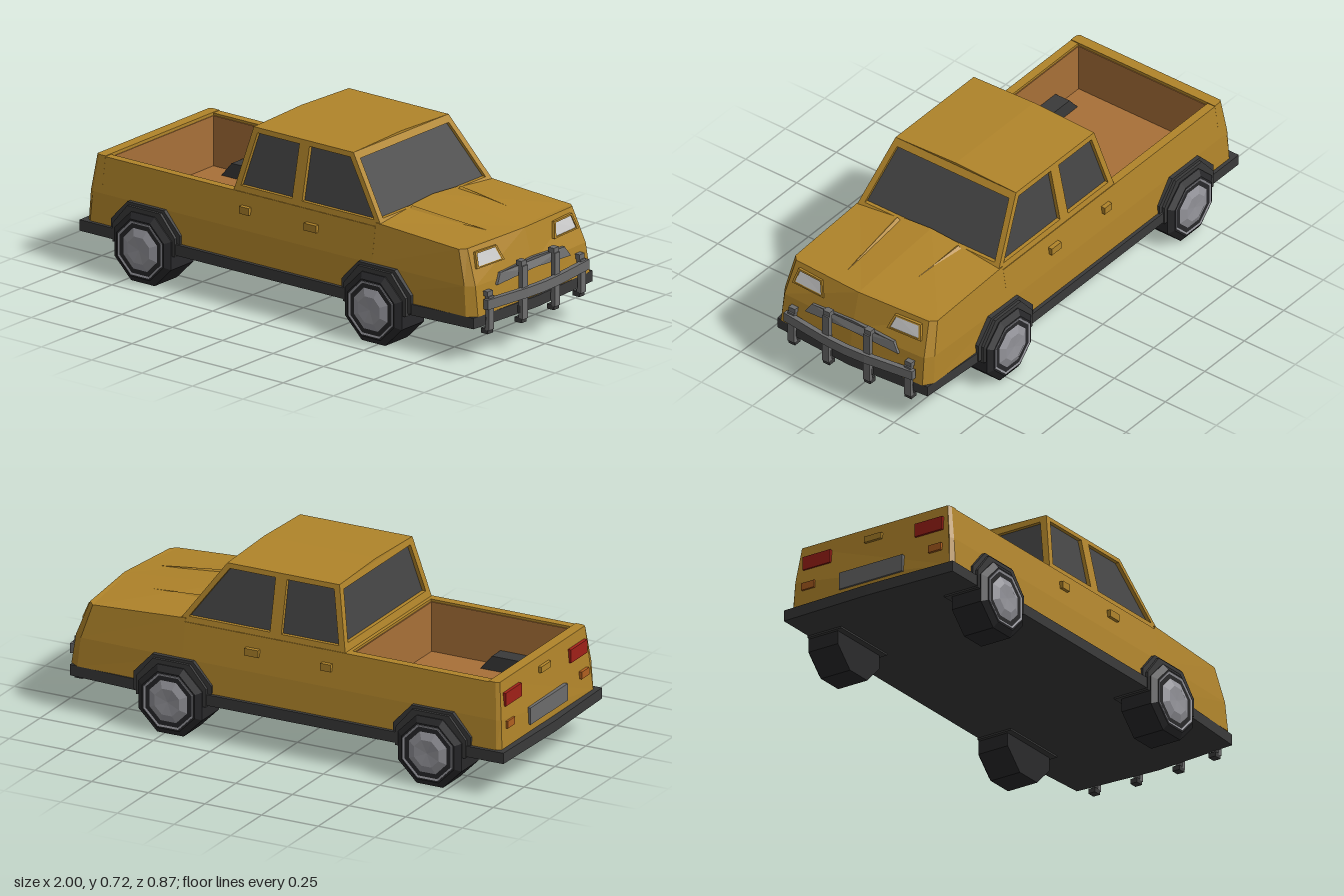
import * as THREE from 'three';

const YELLOW = 0xb0842a, BROWN = 0xa87038, GLASS = 0x444444, DARK = 0x3a3a3a,
  RUBBER = 0x28282a, STEEL = 0x6c6c6c, CHROME = 0x94949a, LAMP = 0xcccccc, RED = 0xa02018, ORANGE = 0xb06020;

export function createModel() {
  const truck = new THREE.Group();
  truck.name = 'pickupTruck';

  // Adds a flat-shaded closed solid, turning its faces outward if a mapping flipped them
  function add(name, geo, color, parent = truck) {
    const g = geo.index ? geo.toNonIndexed() : geo;
    const p = g.attributes.position;
    const a = new THREE.Vector3(), b = new THREE.Vector3(), c = new THREE.Vector3();
    let volume = 0;
    for (let i = 0; i < p.count; i += 3) {
      a.fromBufferAttribute(p, i);
      b.fromBufferAttribute(p, i + 1);
      c.fromBufferAttribute(p, i + 2);
      volume += a.dot(b.cross(c));
    }
    if (volume < 0) {
      for (let i = 0; i < p.count; i += 3) {
        b.fromBufferAttribute(p, i + 1);
        c.fromBufferAttribute(p, i + 2);
        p.setXYZ(i + 1, c.x, c.y, c.z);
        p.setXYZ(i + 2, b.x, b.y, b.z);
      }
    }
    g.computeVertexNormals();
    const mesh = new THREE.Mesh(g, new THREE.MeshStandardMaterial({ color, flatShading: true }));
    mesh.name = name;
    parent.add(mesh);
    return mesh;
  }

  // Box given by its limits
  function box(name, [x0, x1], [y0, y1], [z0, z1], color) {
    const g = new THREE.BoxGeometry(x1 - x0, y1 - y0, z1 - z0);
    return add(name, g.translate((x0 + x1) / 2, (y0 + y1) / 2, (z0 + z1) / 2), color);
  }

  // Skin over rings of equal point count, with both ends capped
  function loft(name, rings, color) {
    const n = rings[0].length, index = [];
    for (let r = 0; r + 1 < rings.length; r++) {
      for (let i = 0; i < n; i++) {
        const a = r * n + i, b = r * n + (i + 1) % n;
        index.push(a, b, b + n, a, b + n, a + n);
      }
    }
    const last = (rings.length - 1) * n;
    for (let i = 1; i + 1 < n; i++) {
      index.push(0, i + 1, i, last, last + i, last + i + 1);
    }
    const g = new THREE.BufferGeometry();
    g.setAttribute('position', new THREE.Float32BufferAttribute(rings.flat(2), 3));
    g.setIndex(index);
    return add(name, g, color);
  }

  // Flat outline with holes, thickened and laid on a surface by map(u, v, depth)
  function panel(name, outline, holes, depth, color, map) {
    const points = list => list.map(q => new THREE.Vector2(...q));
    const shape = new THREE.Shape(points(outline));
    shape.holes = holes.map(h => new THREE.Path(points(h)));
    const g = new THREE.ExtrudeGeometry(shape, { depth, bevelEnabled: false });
    const p = g.attributes.position;
    for (let i = 0; i < p.count; i++) p.setXYZ(i, ...map(p.getX(i), p.getY(i), p.getZ(i)));
    return add(name, g, color);
  }
  const mirrored = list => [...list, ...list.slice().reverse().map(([z, y]) => [-z, y])];

  // Chassis skirt
  panel('chassisSkirt', [[-0.99, -0.4], [0.45, -0.4], [0.94, -0.368], [0.965, 0], [0.94, 0.368],
    [0.45, 0.4], [-0.99, 0.4], [-1, 0]], [], 0.045, DARK, (x, z, w) => [x, 0.145 + w, z]);

  // Body rings: lower edge, waist, shoulder and crown, mirrored over z
  const ring = (lower, waist, shoulder, crown) => [lower, waist, shoulder, crown,
    ...[shoulder, waist, lower].map(([x, y, z]) => [x, y, -z])];
  const straight = x => ring([x, 0.19, 0.385], [x, 0.31, 0.375], [x, 0.455, 0.353], [x, 0.455, 0]);
  const nose = [[0.19, 0.945, 0.955], [0.31, 0.928, 0.94], [0.45, 0.875, 0.9]];
  loft('cabBody', [straight(-0.28), straight(0.44)], YELLOW);
  loft('hoodAndNose', [
    ring([0.44, 0.19, 0.385], [0.44, 0.31, 0.375], [0.44, 0.47, 0.35], [0.44, 0.495, 0]),
    ring([0.905, 0.19, 0.373], [0.893, 0.31, 0.367], [0.85, 0.448, 0.348], [0.885, 0.458, 0]),
    ring([0.945, 0.19, 0.347], [0.928, 0.31, 0.342], [0.875, 0.45, 0.325], [0.9, 0.457, 0]),
    ring([0.955, 0.19, 0], [0.94, 0.31, 0], [0.9, 0.457, 0], [0.9, 0.457, 0]),
  ], YELLOW);
  loft('tailgate', [
    ring([-0.968, 0.19, 0.37], [-0.962, 0.31, 0.365], [-0.945, 0.458, 0.345], [-0.945, 0.458, 0]),
    ring([-0.95, 0.19, 0.385], [-0.945, 0.31, 0.375], [-0.93, 0.458, 0.353], [-0.93, 0.458, 0]),
    ring([-0.9, 0.19, 0.385], [-0.9, 0.31, 0.375], [-0.9, 0.458, 0.353], [-0.9, 0.458, 0]),
  ], YELLOW);

  // Cargo bed
  box('bedFloor', [-0.91, -0.27], [0.18, 0.24], [-0.33, 0.33], BROWN);
  box('bedRearLining', [-0.91, -0.897], [0.24, 0.445], [-0.316, 0.316], BROWN);
  box('bedFrontLining', [-0.285, -0.277], [0.24, 0.445], [-0.316, 0.316], BROWN);
  for (const s of [1, -1]) {
    const wall = x => [[0.19, 0.385], [0.31, 0.375], [0.455, 0.353], [0.455, 0.317], [0.19, 0.317]]
      .map(([y, z]) => [x, y, s * z]);
    loft('bedSide', [wall(-0.905), wall(-0.275)], YELLOW);
    const lining = [0.313, 0.318].map(z => s * z).sort((a, b) => a - b);
    box('bedSideLining', [-0.9, -0.28], [0.24, 0.445], lining, BROWN);
  }

  // Cabin: tapering faces as functions of height
  const rise = y => (y - 0.455) / 0.255;
  const halfWidth = y => 0.35 - 0.055 * rise(y);
  const frontX = y => 0.47 - 0.185 * rise(y);
  const rearX = y => -0.265 + 0.055 * rise(y);
  const cabRing = (y, inset) => [[1, 1], [1, -1], [0, -1], [0, 1]].map(([f, s]) =>
    [f ? frontX(y) - inset : rearX(y) + inset, y, s * (halfWidth(y) - inset)]);
  loft('windowGlass', [cabRing(0.45, 0.016), cabRing(0.7, 0.016)], GLASS);

  const roofRing = x => [[x, 0.693, 0.296], [x, 0.71, 0.295], [x, 0.72, 0], [x, 0.71, -0.295], [x, 0.693, -0.296]];
  loft('roof', [roofRing(-0.21), roofRing(0.285)], YELLOW);

  for (const s of [1, -1]) {
    panel('doorFrame',
      [[rearX(0.45), 0.45], [frontX(0.45), 0.45], [frontX(0.71), 0.71], [rearX(0.71), 0.71]],
      [[[-0.235, 0.478], [0.02, 0.478], [0.02, 0.69], [-0.192, 0.69]],
        [[0.07, 0.478], [0.43, 0.478], [0.272, 0.69], [0.07, 0.69]]],
      0.026, YELLOW, (x, y, w) => [x, y, s * (halfWidth(y) - w)]);
  }
  const endOutline = mirrored([[halfWidth(0.45), 0.45], [halfWidth(0.71), 0.71]]);
  panel('windscreenFrame', endOutline, [mirrored([[0.323, 0.482], [0.274, 0.685]])],
    0.026, YELLOW, (z, y, w) => [frontX(y) - w, y, z]);
  panel('rearWindowFrame', endOutline, [mirrored([[0.315, 0.485], [0.27, 0.685]])],
    0.026, YELLOW, (z, y, w) => [rearX(y) + w, y, z]);

  // Nose surface, used to seat lamps and grille
  function noseX(y, z) {
    const i = y < 0.31 ? 0 : 1;
    const [y0, e0, c0] = nose[i], [y1, e1, c1] = nose[i + 1];
    const t = (y - y0) / (y1 - y0), k = Math.abs(z) / 0.34;
    return (c0 + (c1 - c0) * t) * (1 - k) + (e0 + (e1 - e0) * t) * k;
  }
  const onNose = (z, y, w) => [noseX(y, z) - 0.008 + w, y, z];
  panel('grille', [[-0.228, 0.29], [-0.2, 0.331], [0, 0.345], [0.2, 0.331], [0.228, 0.29], [0, 0.304]],
    [], 0.02, STEEL, onNose);

  for (const s of [1, -1]) {
    const lampOuter = [[0.315, 0.372], [0.155, 0.372], [0.178, 0.432], [0.3, 0.432]].map(([z, y]) => [s * z, y]);
    const lampInner = [[0.303, 0.377], [0.168, 0.377], [0.186, 0.426], [0.292, 0.426]].map(([z, y]) => [s * z, y]);
    panel('headlightFrame', lampOuter, [lampInner], 0.018, YELLOW, onNose);
    panel('headlight', lampInner, [], 0.013, LAMP, onNose);

    // Hood crease tapering to the front
    loft('hoodCrease', [
      [[0.46, 0.46, s * 0.19], [0.46, 0.492, s * 0.15], [0.46, 0.46, s * 0.1]],
      [[0.84, 0.45, s * 0.125], [0.84, 0.455, s * 0.12], [0.84, 0.45, s * 0.115]],
    ], YELLOW);

    // Door handles
    const out = s > 0 ? [0.35, 0.379] : [-0.379, -0.35];
    box('rearDoorHandle', [-0.215, -0.17], [0.375, 0.405], out, YELLOW);
    box('frontDoorHandle', [0.105, 0.165], [0.375, 0.405], out, YELLOW);

    // Tail lamps
    const span = (a, b) => s > 0 ? [a, b] : [-b, -a];
    box('tailLight', [-0.963, -0.94], [0.355, 0.41], span(0.2, 0.33), RED);
    box('rearIndicator', [-0.972, -0.95], [0.265, 0.295], span(0.27, 0.33), ORANGE);
  }
  box('rearPlate', [-0.975, -0.95], [0.22, 0.29], [-0.15, 0.15], STEEL);
  box('tailgateHandle', [-0.962, -0.94], [0.395, 0.42], [-0.04, 0.04], YELLOW);

  // Bull bar
  const bow = [[0.968, -0.315], [0.995, -0.1], [1, 0], [0.995, 0.1], [0.968, 0.315]];
  panel('bullBarCrossbar', [...bow, ...bow.slice().reverse().map(([x, z]) => [x - 0.022, z])],
    [], 0.04, STEEL, (x, z, w) => [x, 0.215 + w, z]);
  for (const [z, top, x] of [[0.285, 0.283, 0.962], [0.1, 0.363, 0.982]]) {
    for (const s of [1, -1]) {
      const zs = [s * z - 0.016, s * z + 0.016];
      box('bullBarPost', [x - 0.02, x], [0.125, top - 0.02], zs, STEEL);
      box('bullBarPostTop', [x - 0.034, x - 0.006], [top - 0.02, top], zs, STEEL);
      box('bullBarFoot', [x - 0.04, x - 0.006], [0.11, 0.13], zs, DARK);
      box('bullBarBracket', [0.92, x - 0.01], [0.15, 0.18], zs, DARK);
    }
  }

  // Wheels and octagonal arches
  const spin = (pts) => new THREE.LatheGeometry(pts.map(q => new THREE.Vector2(...q)), 8, Math.PI / 8)
    .rotateX(Math.PI / 2);
  for (const x of [-0.67, 0.475]) {
    for (const s of [1, -1]) {
      const arch = (k, drop) => [[-0.172, 0.15], [-0.172, 0.225], [-0.09, 0.312],
        [0.09, 0.312], [0.172, 0.225], [0.172, 0.15]].map(([a, b]) => [x + a * k, b - drop]);
      panel('wheelArch', arch(1, 0), [], 0.07, DARK, (a, b, w) => [a, b, s * (0.322 + w)]);
      panel('wheelArchLip', arch(0.9, 0.012), [], 0.16, DARK, (a, b, w) => [a, b, s * (0.244 + w)]);

      const wheel = new THREE.Group();
      wheel.name = 'wheel';
      wheel.position.set(x, 0.141, 0);
      if (s < 0) wheel.rotation.y = Math.PI;
      add('tire', spin([[0, 0.27], [0.152, 0.27], [0.152, 0.408], [0.126, 0.425], [0, 0.425]]), RUBBER, wheel);
      add('rim', spin([[0, 0.415], [0.122, 0.415], [0.118, 0.427], [0.098, 0.422], [0.058, 0.437], [0, 0.433]]),
        CHROME, wheel);
      truck.add(wheel);
    }
  }
  return truck;
}
